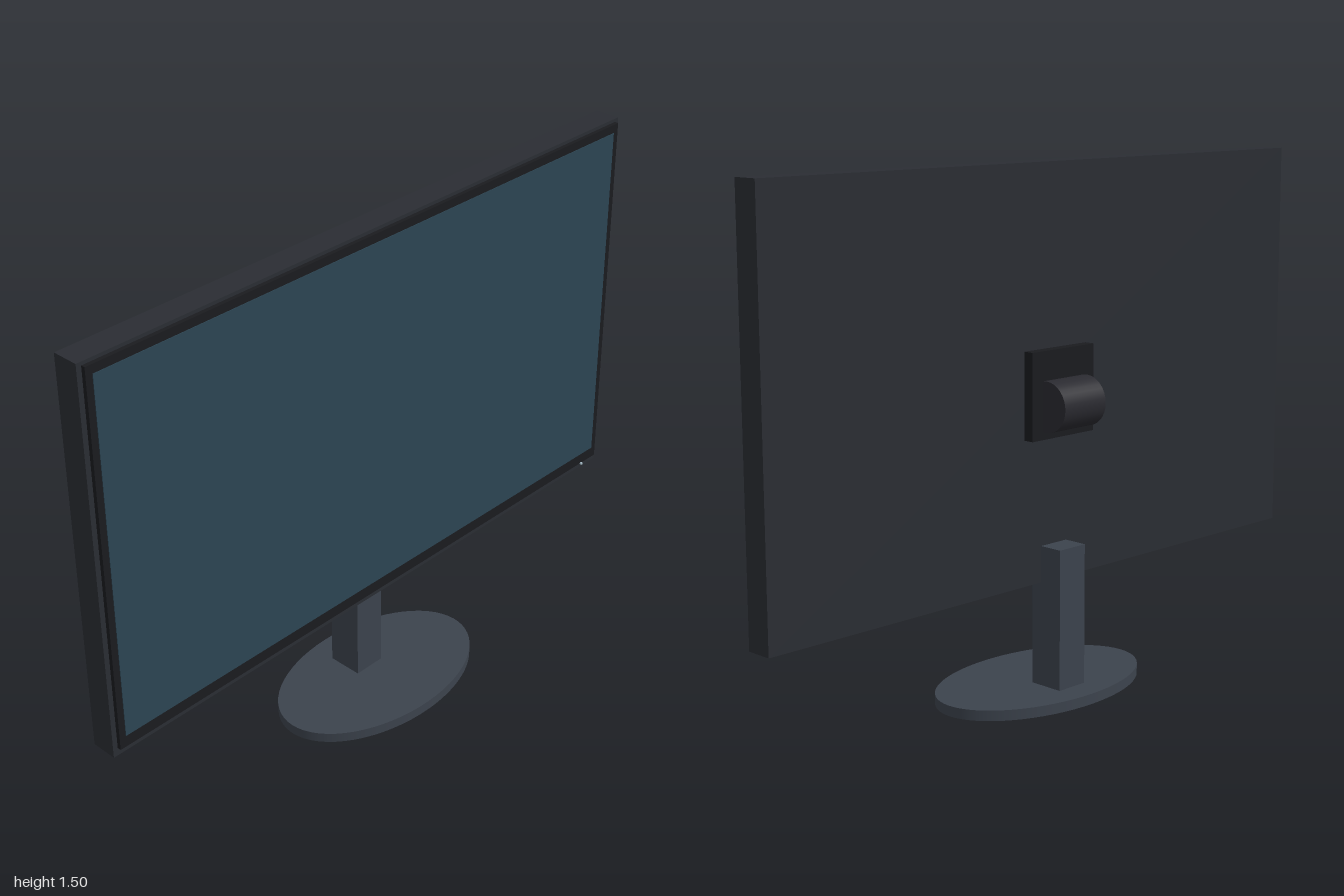
import * as THREE from 'three';

const mat = (color) => new THREE.MeshStandardMaterial({ color });

export function createModel() {
  const model = new THREE.Group();
  model.name = 'monitor';
  const shell = mat(0x2a2d33), black = mat(0x1a1b1f), metal = mat(0x3c434d);
  const glass = mat(0x2c4553), hingeMat = mat(0x2a2a30), light = mat(0x9fb4c0);

  const add = (name, geometry, material, x = 0, y = 0, z = 0) => {
    const mesh = new THREE.Mesh(geometry, material);
    mesh.name = name;
    mesh.position.set(x, y, z);
    model.add(mesh);
    return mesh;
  };
  // Box given by half width and its y and z ranges
  const box = (name, material, hx, y0, y1, z0, z1) =>
    add(name, new THREE.BoxGeometry(hx * 2, y1 - y0, z1 - z0), material, 0, (y0 + y1) / 2, (z0 + z1) / 2);

  // Display
  box('housing', shell, 1, 0.33, 1.495, -0.06, 0.018);
  box('bezel', black, 0.985, 0.354, 1.485, 0.01, 0.03);
  box('screen', glass, 0.965, 0.39, 1.46, 0.02, 0.032);

  // Power light, at the lower corner of the bezel
  add('powerLight', new THREE.SphereGeometry(0.005, 12, 8), light, 0.915, 0.354, 0.033);

  // Rear mount: plate and horizontal hinge barrel
  box('mountPlate', black, 0.12, 0.745, 0.99, -0.097, -0.066);
  const hinge = add('hinge', new THREE.CylinderGeometry(0.071, 0.071, 0.16, 32), hingeMat, 0, 0.838, -0.11);
  hinge.rotation.z = Math.PI / 2;

  // Stand: square neck on an oval foot
  box('neck', metal, 0.05, 0.02, 0.435, -0.133, -0.026);
  const foot = new THREE.CylinderGeometry(0.35, 0.35, 0.03, 64);
  foot.scale(1, 1, 0.213 / 0.35);
  add('foot', foot, metal, 0, 0.015, 0);

  return model;
}
